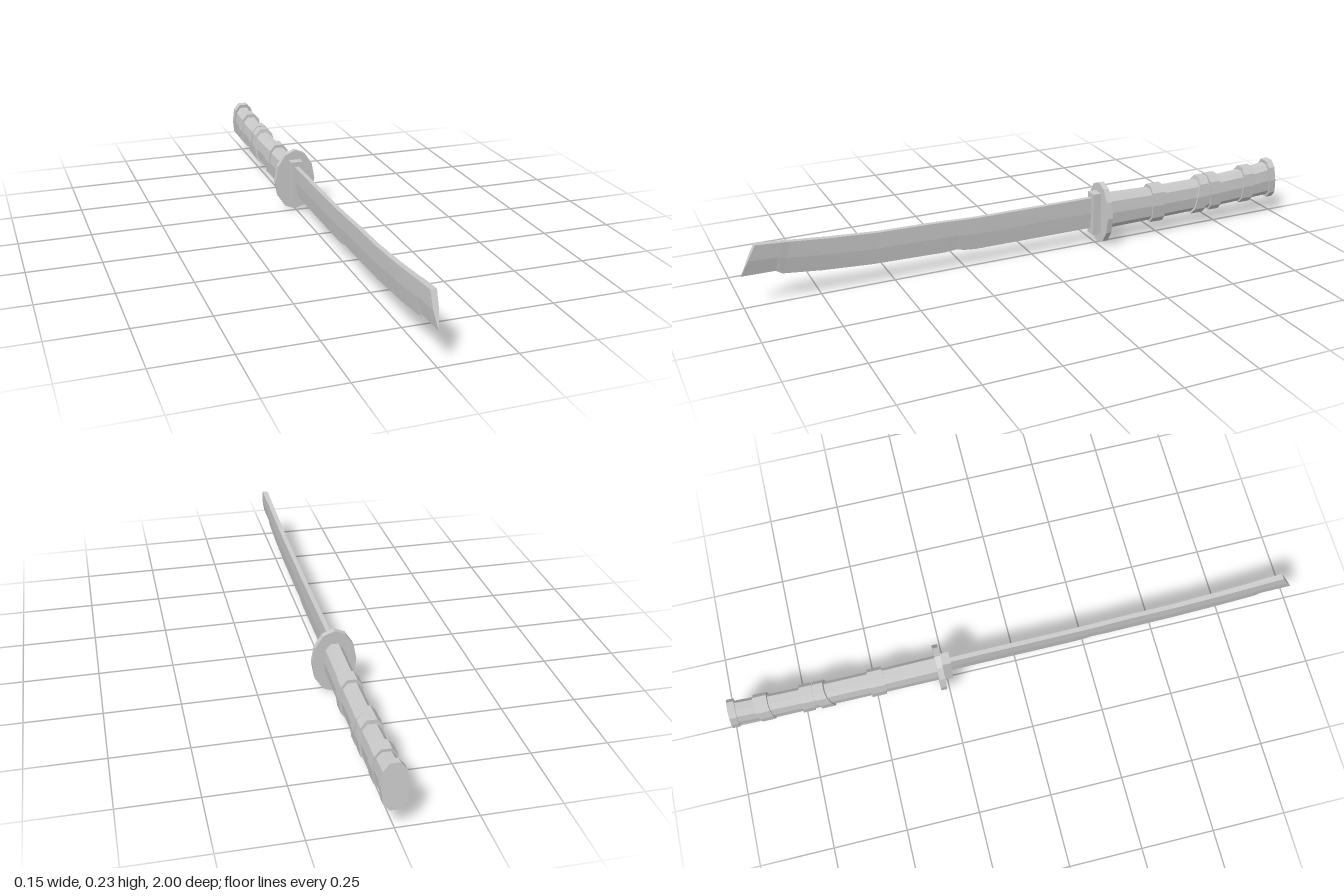
import * as THREE from 'three';

const material = new THREE.MeshStandardMaterial({ color: 0xcccccc, flatShading: true });

function addMesh(parent, name, geometry) {
  const mesh = new THREE.Mesh(geometry, material);
  mesh.name = name;
  parent.add(mesh);
  return mesh;
}

// Closed faceted skin over rings listed from -z to +z, each counterclockwise seen from +z
function loft(rings) {
  const pos = [];
  const tri = (a, b, c) => pos.push(...a, ...b, ...c);
  const n = rings[0].length;
  for (let r = 0; r < rings.length - 1; r++) {
    for (let i = 0; i < n; i++) {
      const j = (i + 1) % n;
      const [a, b, c, d] = [rings[r][i], rings[r][j], rings[r + 1][j], rings[r + 1][i]];
      tri(a, b, c);
      tri(a, c, d);
    }
  }
  const first = rings[0], last = rings[rings.length - 1];
  for (let i = 1; i < n - 1; i++) {
    tri(first[0], first[i + 1], first[i]);
    tri(last[0], last[i], last[i + 1]);
  }
  const geometry = new THREE.BufferGeometry();
  geometry.setAttribute('position', new THREE.Float32BufferAttribute(pos, 3));
  geometry.computeVertexNormals();
  return geometry;
}

// Tall faceted grip section, optionally leaning so top and bottom differ in z
const quarter = [[1, 0], [0.86, 0.68], [0.4, 1]];
const gripProfile = [
  ...quarter,
  ...quarter.slice().reverse().map(([x, y]) => [-x, y]),
  [-0.86, -0.68], [-0.4, -1], [0.4, -1], [0.86, -0.68],
];
function gripRing(zBottom, zTop, bottom, top, halfWidth) {
  return gripProfile.map(([x, y]) => {
    const t = (y + 1) / 2;
    return [x * halfWidth, bottom + (top - bottom) * t, zBottom + (zTop - zBottom) * t];
  });
}

// Wedge blade section: flat spine, straight flanks, ground cutting edge
function bladeRing([spineZ, spineY, edgeZ, edgeY, centre, half]) {
  const at = (x, t) => [x, edgeY + (spineY - edgeY) * t, edgeZ + (spineZ - edgeZ) * t];
  return [
    at(centre + half, 1), at(centre - half, 1),
    at(centre * 0.5 - half * 0.85, 0.5), at(0, 0), at(centre * 0.5 + half * 0.85, 0.5),
  ];
}

export function createModel() {
  const sword = new THREE.Group();
  sword.name = 'sword';

  // Curved blade with two small nicks and a slanted tip
  const stations = [
    [-0.25, 0.173, -0.25, 0.058, -0.003, 0.008],
    [0.2, 0.173, 0.21, 0.058, -0.002, 0.008],
    [0.24, 0.174, 0.25, 0.062, -0.002, 0.008],
    [0.27, 0.175, 0.28, 0.069, -0.002, 0.008],
    [0.31, 0.177, 0.32, 0.066, -0.002, 0.008],
    [0.4, 0.18, 0.42, 0.068, -0.001, 0.008],
    [0.55, 0.182, 0.57, 0.071, -0.001, 0.008],
    [0.72, 0.193, 0.74, 0.082, 0, 0.009],
    [0.84, 0.204, 0.87, 0.096, 0.001, 0.009],
    [0.87, 0.207, 0.89, 0.109, 0.002, 0.01],
    [0.95, 0.213, 1, 0.11, 0.003, 0.01],
  ];
  addMesh(sword, 'blade', loft(stations.map(bladeRing)));

  // Blade collar
  addMesh(sword, 'bladeCollar', new THREE.BoxGeometry(0.042, 0.153, 0.035))
    .position.set(-0.001, 0.114, -0.2475);

  // Oval twelve-sided guard
  const guard = new THREE.CylinderGeometry(1, 1, 0.02, 12);
  guard.rotateX(Math.PI / 2);
  guard.scale(0.074, 0.113, 1);
  addMesh(sword, 'guard', guard).position.set(0, 0.113, -0.27);

  // Handle, rising slightly towards the pommel
  addMesh(sword, 'handle', loft([
    gripRing(-0.98, -0.97, 0.072, 0.195, 0.034),
    gripRing(-0.88, -0.88, 0.067, 0.183, 0.034),
    gripRing(-0.7, -0.7, 0.06, 0.173, 0.034),
    gripRing(-0.47, -0.47, 0.055, 0.173, 0.034),
    gripRing(-0.275, -0.275, 0.052, 0.179, 0.034),
  ]));

  // Wrapped bands: bottom z range, top z range, bottom y, top y
  const bands = [
    [-0.516, -0.465, -0.513, -0.462, 0.045, 0.184],
    [-0.688, -0.64, -0.7, -0.665, 0.049, 0.187],
    [-0.757, -0.715, -0.745, -0.702, 0.052, 0.189],
    [-0.895, -0.848, -0.9, -0.854, 0.059, 0.195],
  ];
  for (const [backLow, frontLow, backHigh, frontHigh, bottom, top] of bands) {
    addMesh(sword, 'gripBand', loft([
      gripRing(backLow, backHigh, bottom, top, 0.04),
      gripRing(frontLow, frontHigh, bottom, top, 0.04),
    ]));
  }

  // Slanted end cap
  addMesh(sword, 'pommel', loft([
    gripRing(-1, -0.985, 0.062, 0.208, 0.04),
    gripRing(-0.975, -0.96, 0.06, 0.206, 0.04),
  ]));

  return sword;
}
